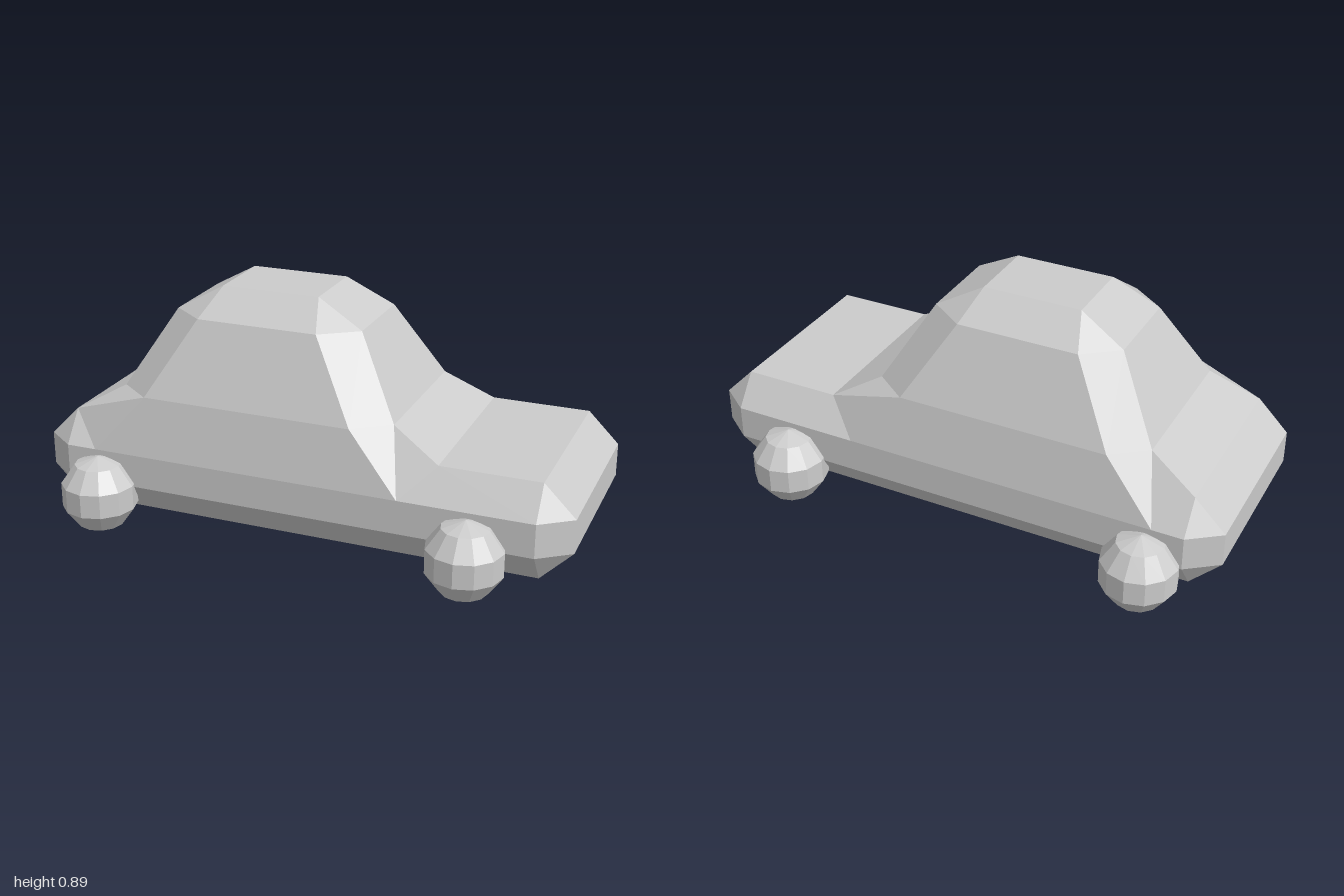
import * as THREE from 'three';

const material = new THREE.MeshStandardMaterial({ color: 0xcccccc, flatShading: true });

// Levels from roof to floor. Each is an eight-cornered ring:
// end strip corners [front x, rear x, y, z], then side panel corners [front x, rear x, y, z]
const levels = [
  [[0, -0.37, 0.895, 0.135], [0, -0.37, 0.895, 0.135]],         // roof
  [[0, -0.37, 0.895, 0.135], [0.04, -0.415, 0.8, 0.26]],        // roof side slope
  [[0.175, -0.54, 0.8, 0.165], [0.04, -0.415, 0.8, 0.26]],      // top of windscreen
  [[0.34, -0.705, 0.52, 0.285], [0.21, -0.58, 0.52, 0.38]],     // lower windscreen
  [[0.52, -0.885, 0.42, 0.34], [0.4, -0.77, 0.305, 0.425]],     // foot of the cabin
  [[0.885, -0.885, 0.42, 0.34], [0.885, -0.885, 0.305, 0.425]], // bonnet edge
  [[1, -1, 0.305, 0.34], [0.885, -0.885, 0.305, 0.425]],        // top of bumper
  [[1, -1, 0.18, 0.34], [0.885, -0.885, 0.18, 0.425]],          // bottom of bumper
  [[0.885, -0.885, 0.065, 0.34], [0.885, -0.885, 0.18, 0.425]], // underside bevel
  [[0.885, -0.885, 0.065, 0.34], [0.885, -0.885, 0.065, 0.34]], // floor
];

function ringOf([[f, r, y, z], [sf, sr, sy, sz]]) {
  return [
    [f, y, z], [sf, sy, sz], [sr, sy, sz], [r, y, z],
    [r, y, -z], [sr, sy, -sz], [sf, sy, -sz], [f, y, -z],
  ].map((p) => new THREE.Vector3(...p));
}

// Lofts the rings together and closes the roof and floor
function bodyGeometry() {
  const points = [];
  const tri = (a, b, c) => {
    if (new THREE.Triangle(a, b, c).getArea() > 1e-6) points.push(a, b, c);
  };
  const quad = (a, b, c, d) => { tri(a, b, c); tri(a, c, d); };
  const rings = levels.map(ringOf);
  for (let i = 0; i < rings.length - 1; i++) {
    const upper = rings[i], lower = rings[i + 1];
    for (let j = 0; j < 8; j++) {
      const k = (j + 1) % 8;
      quad(upper[j], upper[k], lower[k], lower[j]);
    }
  }
  const roof = rings[0], floor = rings[rings.length - 1];
  quad(roof[7], roof[4], roof[3], roof[0]);
  quad(floor[0], floor[3], floor[4], floor[7]);
  const geometry = new THREE.BufferGeometry().setFromPoints(points);
  geometry.computeVertexNormals();
  return geometry;
}

export function createModel() {
  const car = new THREE.Group();
  car.name = 'car';

  const body = new THREE.Mesh(bodyGeometry(), material);
  body.name = 'body';
  car.add(body);

  // Faceted ball wheels, one at each corner
  const ball = new THREE.SphereGeometry(0.145, 12, 5);
  for (const [end, x] of [['front', 0.655], ['rear', -0.745]]) {
    for (const [side, z] of [['Near', 0.45], ['Far', -0.45]]) {
      const wheel = new THREE.Mesh(ball, material);
      wheel.name = `${end}${side}Wheel`;
      wheel.position.set(x, 0.148, z);
      car.add(wheel);
    }
  }
  return car;
}
